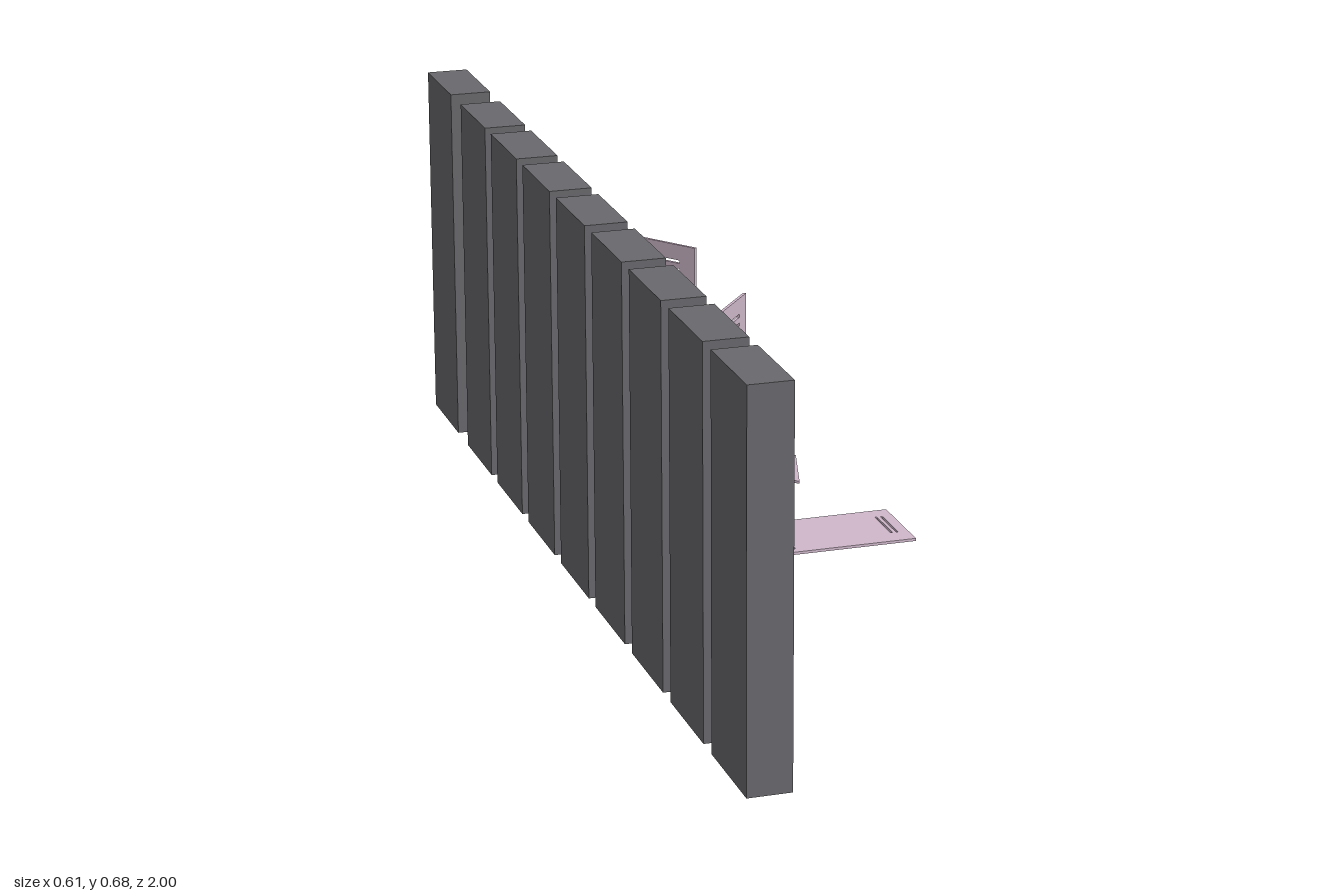
import * as THREE from 'three';

const steel = new THREE.MeshStandardMaterial({ color: 0x69686c });
steel.name = 'grey steel';
const paint = new THREE.MeshStandardMaterial({ color: 0xcfb8cb });
paint.name = 'pale mauve paint';

const HEIGHT = 0.678, WIDTH = 0.181, BACK = -0.307, FRONT = -0.2305;
const WALL = 0.009, PLINTH = 0.027, DOOR_H = 0.64, DOOR_T = 0.005;

// Unit door panel: u runs from hinge to handle, v from bottom to top
function doorGeometry() {
  const s = new THREE.Shape();
  s.moveTo(0, 0).lineTo(1, 0).lineTo(1, 1).lineTo(0, 1).closePath();
  // paired vent slots at both ends
  for (const v of [0.048, 0.069, 0.931, 0.954]) {
    const h = 0.0042, slot = new THREE.Path();
    slot.moveTo(0.21, v - h).lineTo(0.21, v + h).lineTo(0.74, v + h).lineTo(0.74, v - h).closePath();
    s.holes.push(slot);
  }
  // rounded finger pull
  const pull = new THREE.Path();
  pull.absellipse(0.865, 0.505, 0.043, 0.011, 0, Math.PI, false, 0);
  pull.absellipse(0.865, 0.47, 0.043, 0.011, Math.PI, Math.PI * 2, false, 0);
  pull.closePath();
  s.holes.push(pull);
  const g = new THREE.ExtrudeGeometry(s, { depth: 1, bevelEnabled: false, curveSegments: 8 });
  return g.translate(0, 0, -0.5);
}

// Place a door by its hinge-bottom corner, width vector and height vector
function makeDoor(name, origin, across, up) {
  const a = new THREE.Vector3(...across), b = new THREE.Vector3(...up);
  const n = a.clone().cross(b).setLength(DOOR_T);
  const m = new THREE.Matrix4().makeBasis(a, b, n).setPosition(...origin);
  const g = doorGeometry().applyMatrix4(m);
  g.computeVertexNormals();
  const door = new THREE.Mesh(g, paint);
  door.name = name;
  return door;
}

// Open-fronted cabinet facing +x
function makeCabinet(z) {
  const cabinet = new THREE.Group();
  cabinet.name = 'lockerCabinet';
  const panel = (name, x0, x1, y0, y1, z0, z1) => {
    const p = new THREE.Mesh(new THREE.BoxGeometry(x1 - x0, y1 - y0, z1 - z0), steel);
    p.position.set((x0 + x1) / 2, (y0 + y1) / 2, (z0 + z1) / 2);
    p.name = name;
    cabinet.add(p);
  };
  const w = WIDTH / 2, top = HEIGHT - WALL;
  panel('plinth', BACK, FRONT, 0, PLINTH, -w, w);
  panel('topPanel', BACK, FRONT, top, HEIGHT, -w, w);
  panel('backPanel', BACK, BACK + 0.007, PLINTH, top, -w, w);
  for (const side of [-1, 1]) {
    const c = side * (w - WALL / 2);
    panel('sidePanel', BACK + 0.007, FRONT, PLINTH, top, c - WALL / 2, c + WALL / 2);
  }
  cabinet.position.z = z;
  return cabinet;
}

export function createModel() {
  const model = new THREE.Group();
  model.name = 'lockerRow';

  // row of nine cabinets, the last one set slightly apart
  const closed = [0, 2, 5, 6, 8];
  for (let i = 0; i < 9; i++) {
    const z = i === 8 ? -0.9095 : 0.9095 - i * 0.2233;
    model.add(makeCabinet(z));
    if (closed.includes(i)) {
      model.add(makeDoor('closedDoor', [-0.2345, 0.0275, z - 0.08], [0, 0, 0.16], [0, DOOR_H, 0]));
    }
  }

  // two doors hanging open
  model.add(makeDoor('openDoor', [-0.229, 0.028, 0.616], [0.072, 0, -0.091], [0, DOOR_H, 0]));
  model.add(makeDoor('openDoor', [-0.229, 0.028, 0.162], [0.072, 0, 0.096], [0, DOOR_H, 0]));

  // two doors lying loose in front
  model.add(makeDoor('fallenDoor', [-0.153, 0.035, -0.063], [0, 0, 0.158], [0.458, 0, 0]));
  model.add(makeDoor('fallenDoor', [-0.162, 0.035, -0.751], [-0.04, 0, 0.141], [0.405, 0, 0.356]));

  return model;
}
